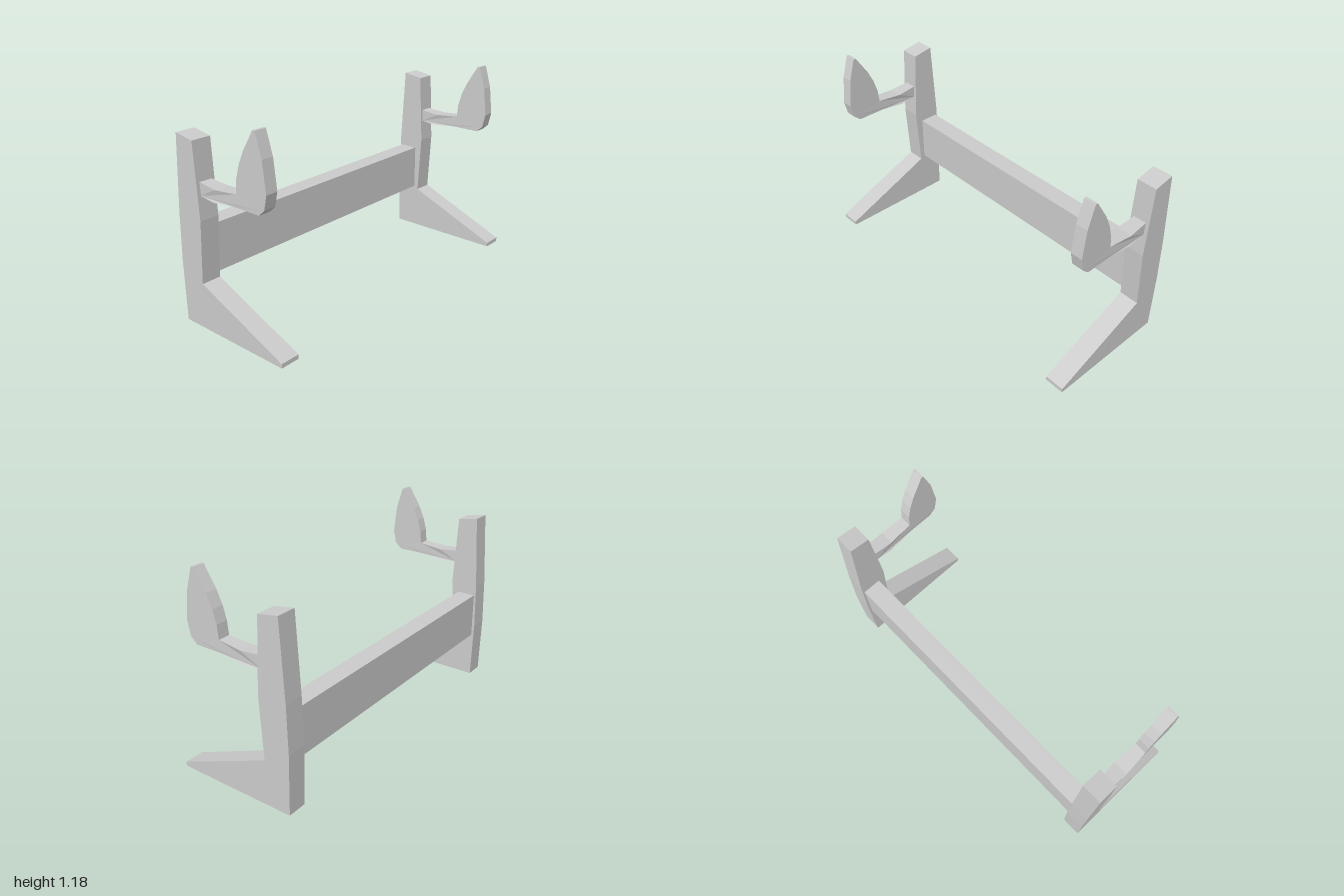
import * as THREE from 'three';

const material = new THREE.MeshStandardMaterial({ color: 0xcccccc, flatShading: true });

// Side profiles as [z, y]
const legProfile = [
  [0.37, 0], [0.37, 0.025], [-0.213, 0.265], [-0.192, 0.626], [-0.215, 1.05],
  [-0.338, 1.07], [-0.365, 0.626], [-0.372, 0.35], [-0.364, 0],
];
const hookProfile = [
  [-0.205, 0.831], [-0.08, 0.82], [0.07, 0.832], [0.078, 0.91], [0.1, 0.985],
  [0.135, 1.06], [0.21, 1.178], [0.225, 1.178], [0.265, 1.047], [0.285, 0.879],
  [0.266, 0.798], [0.226, 0.763], [0.06, 0.763], [-0.093, 0.749], [-0.205, 0.757],
];

// Extrudes a side profile along x, centred on x = 0
function slab(profile, width) {
  const shape = new THREE.Shape(profile.map(([z, y]) => new THREE.Vector2(z, y)));
  const geometry = new THREE.ExtrudeGeometry(shape, { depth: width, bevelEnabled: false });
  return geometry.translate(0, 0, -width / 2).rotateY(-Math.PI / 2);
}

// Hook whose arm swells slightly between the post and the upturned end
function hookGeometry() {
  const geometry = slab(hookProfile, 0.07);
  const p = geometry.attributes.position;
  for (let i = 0; i < p.count; i++) {
    const z = p.getZ(i);
    const half = z < -0.15 ? 0.038 : z < 0 ? 0.044 : 0.035;
    p.setX(i, Math.sign(p.getX(i)) * half);
  }
  geometry.computeVertexNormals();
  return geometry;
}

export function createModel() {
  const model = new THREE.Group();
  model.name = 'wallRackStand';

  const add = (name, geometry, x, y, z) => {
    const mesh = new THREE.Mesh(geometry, material);
    mesh.name = name;
    mesh.position.set(x, y, z);
    model.add(mesh);
  };

  // Upright with foot, and hook, on each side
  const leg = slab(legProfile, 0.116);
  const hook = hookGeometry();
  for (const [side, s] of [['left', 1], ['right', -1]]) {
    add(side + 'Leg', leg, s * 0.942, 0, 0);
    add(side + 'Hook', hook, s * 0.941, 0, 0);
  }

  // Cross beam between the uprights
  add('crossBeam', new THREE.BoxGeometry(1.78, 0.28, 0.113), 0, 0.423, -0.298);

  return model;
}
